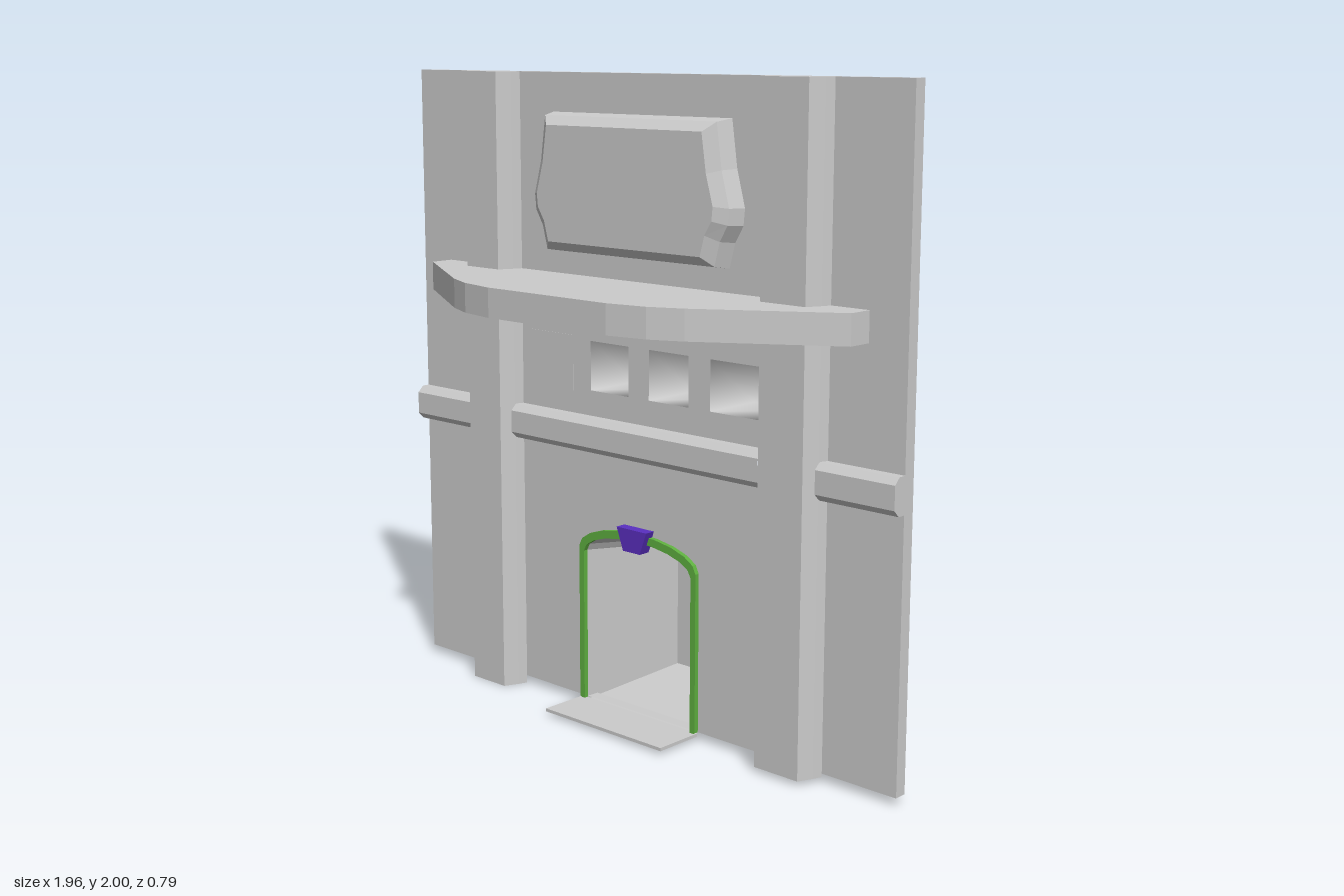
import * as THREE from 'three';
import { mergeVertices } from 'three/addons/utils/BufferGeometryUtils.js';

const mat = (color, flatShading = true) =>
  new THREE.MeshStandardMaterial({ color, flatShading, side: THREE.DoubleSide });

export function createModel() {
  const root = new THREE.Group();
  const grey = mat(0xcccccc);
  const smoothGrey = mat(0xcccccc, false);
  const green = mat(0x5fb040);
  const purple = mat(0x5a2fc0);

  const add = (name, geo, material = grey) => {
    const mesh = new THREE.Mesh(geo, material);
    mesh.name = name;
    root.add(mesh);
    return mesh;
  };
  const shapeOf = pts => new THREE.Shape(pts.map(p => new THREE.Vector2(p[0], p[1])));
  const rect = (x0, x1, y0, y1) => [[x0, y0], [x1, y0], [x1, y1], [x0, y1]];

  // Skin between successive rings of 3D points
  const loft = (rings, closed = false) => {
    const n = rings[0].length, idx = [];
    for (let r = 0; r < rings.length - 1; r++) {
      for (let i = 0; i < (closed ? n : n - 1); i++) {
        const a = r * n + i, b = r * n + (i + 1) % n;
        idx.push(a, b, b + n, a, b + n, a + n);
      }
    }
    const g = new THREE.BufferGeometry();
    g.setAttribute('position', new THREE.Float32BufferAttribute(rings.flat(2), 3));
    g.setIndex(idx);
    g.computeVertexNormals();
    return g;
  };
  // Flat upright sheet with optional holes
  const sheet = (name, pts, holes = [], z = 0) => {
    const s = shapeOf(pts);
    holes.forEach(h => s.holes.push(shapeOf(h)));
    return add(name, new THREE.ShapeGeometry(s).translate(0, 0, z));
  };
  // Arch outline, from left foot over the crown to right foot
  const arch = (w, y0, spring, top) => {
    const pts = [[-w, y0]];
    for (let i = 0; i <= 10; i++) {
      const a = Math.PI * (1 - i / 10);
      pts.push([w * Math.cos(a), spring + (top - spring) * Math.sin(a)]);
    }
    pts.push([w, y0]);
    return pts;
  };
  const at = (pts, z) => pts.map(p => [p[0], p[1], z]);

  const W = 0.98, Y0 = 0.03, P0 = 0.72, C0 = -0.51, C1 = 0.495;
  const beltLow = 0.84, beltHigh = 0.95;

  // Raised panel outline, mirrored from its right half
  const half = [[0.36, 1.88], [0.38, 1.74], [0.41, 1.63], [0.405, 1.58], [0.375, 1.53], [0.355, 1.455]];
  const panel = [...half, ...half.map(([x, y]) => [-x, y]).reverse()];
  const panelRing = (sx, sy, z) => panel.map(([x, y]) => [x * sx, 1.667 + (y - 1.667) * sy, z]);

  const niches = [[-0.205, -0.045], [0.04, 0.2], [0.285, 0.47]];
  const [n0, n1] = [1.03, 1.185];

  // Wall skin
  for (const s of [-1, 1]) {
    const [a, b] = s < 0 ? [-W, -P0] : [P0, W];
    sheet('sideWallLower', rect(a, b, Y0, beltLow));
    sheet('sideWallUpper', rect(a, b, beltHigh, 2));
  }
  sheet('centreWallLower', [[C0, Y0], ...arch(0.245, Y0, 0.53, 0.61), [C1, Y0], [C1, beltLow], [C0, beltLow]]);
  sheet('centreWallMiddle', rect(C0, C1, beltHigh, 1.27), niches.map(([a, b]) => rect(a, b, n0, n1)));
  sheet('centreWallUpper', rect(C0, C1, 1.385, 2), [panel]);

  // Rim returning backwards round the wall
  const rim = rect(-W, W, Y0, 2);
  add('wallRim', loft([at(rim, 0), at(rim, -0.04)], true));

  // Hollow pilasters with capped ends
  for (const [name, x0, x1, y0] of [['rightPilaster', -P0, C0, 0.005], ['leftPilaster', C1, P0, 0.02]]) {
    const prof = [[x0, 0], [x0 + 0.012, 0.03], [x0 + 0.035, 0.075],
      [x1 - 0.03, 0.075], [x1 - 0.01, 0.03], [x1, 0]];
    add(name, loft([y0, 2].map(y => prof.map(([x, z]) => [x, y, z]))));
    for (const y of [y0, 2]) {
      add(name + 'Cap', new THREE.ShapeGeometry(shapeOf(prof)).rotateX(Math.PI / 2).translate(0, y, 0));
    }
    sheet('mantelBackPlate', rect(x0, x1, 1.285, 1.4));
  }

  // Belt moulding in three lengths
  const belt = [[beltLow, 0], [beltLow, 0.025], [0.86, 0.045], [0.93, 0.045], [beltHigh, 0.025], [beltHigh, 0]];
  for (const [a, b] of [[-W, -P0 + 0.01], [C0 - 0.01, C1 + 0.01], [P0 - 0.01, W]]) {
    add('beltMoulding', loft([a, b].map(x => belt.map(([y, z]) => [x, y, z]))));
  }
  for (const x of [-W, W]) {
    const cap = shapeOf(belt.map(([y, z]) => [-z, y]));
    add('beltEnd', new THREE.ShapeGeometry(cap).rotateY(Math.PI / 2).translate(x, 0, 0));
  }

  // Raised panel, hollow behind
  add('raisedPanel', loft([panelRing(1, 1, 0), panelRing(0.96, 0.96, 0.05), panelRing(0.87, 0.83, 0.078)], true));
  sheet('raisedPanelFace', panelRing(0.87, 0.83, 0), [], 0.078);

  // Bowed mantel shelf, open towards the back
  const side = [[0.85, 0], [0.85, 0.08], [0.47, 0.32], [0.37, 0.365], [0.24, 0.39]];
  const shelf = [...side, ...side.map(([x, z]) => [-x, z]).reverse()];
  const [m0, m1] = [1.295, 1.385];
  add('mantelEdge', loft([m0, m1].map(y => shelf.map(([x, z]) => [x, y, z]))));
  for (const y of [m0, m1]) {
    add(y === m0 ? 'mantelUnderside' : 'mantelTop',
      new THREE.ShapeGeometry(shapeOf(shelf)).rotateX(Math.PI / 2).translate(0, y, 0));
  }
  add('mantelCove', loft([[[C0, 1.27, 0], [C1, 1.27, 0]], [[C0, m0, 0.08], [C1, m0, 0.08]]]));

  // Row of niches: one closed block and three open boxes
  add('closedNiche', new THREE.BoxGeometry(0.2, 0.175, 0.2).translate(-0.38, 1.108, -0.099));
  for (const [a, b] of niches) {
    const r = rect(a, b, n0, n1);
    const c = [[(a + b) / 2, (n0 + n1) / 2]];
    const back = r.map(() => [...c[0], -0.2]);
    add('openNiche', mergeVertices(loft([at(r, 0), at(r, -0.2), back], true)), smoothGrey);
  }

  // Firebox narrowing and dropping towards the back
  const mouth = arch(0.225, 0.02, 0.515, 0.585), rear = arch(0.2, 0.045, 0.465, 0.525);
  add('firebox', loft([at(mouth, 0), at(rear, -0.4)], true));
  sheet('fireboxBack', rear, [], -0.4);
  add('hearth', new THREE.BoxGeometry(0.49, 0.01, 0.165).translate(0, 0.022, 0.085));

  // Arch trim and keystone
  const trim = shapeOf([...arch(0.245, 0.03, 0.53, 0.61), ...mouth.slice().reverse()]);
  add('archTrim', new THREE.ExtrudeGeometry(trim, { depth: 0.02, bevelEnabled: false }).translate(0, 0, -0.005), green);
  const key = shapeOf([[-0.035, 0.555], [0.035, 0.555], [0.062, 0.627], [-0.062, 0.627]]);
  add('keystone', new THREE.ExtrudeGeometry(key, { depth: 0.04, bevelEnabled: false }).translate(0, 0, -0.005), purple);

  return root;
}
